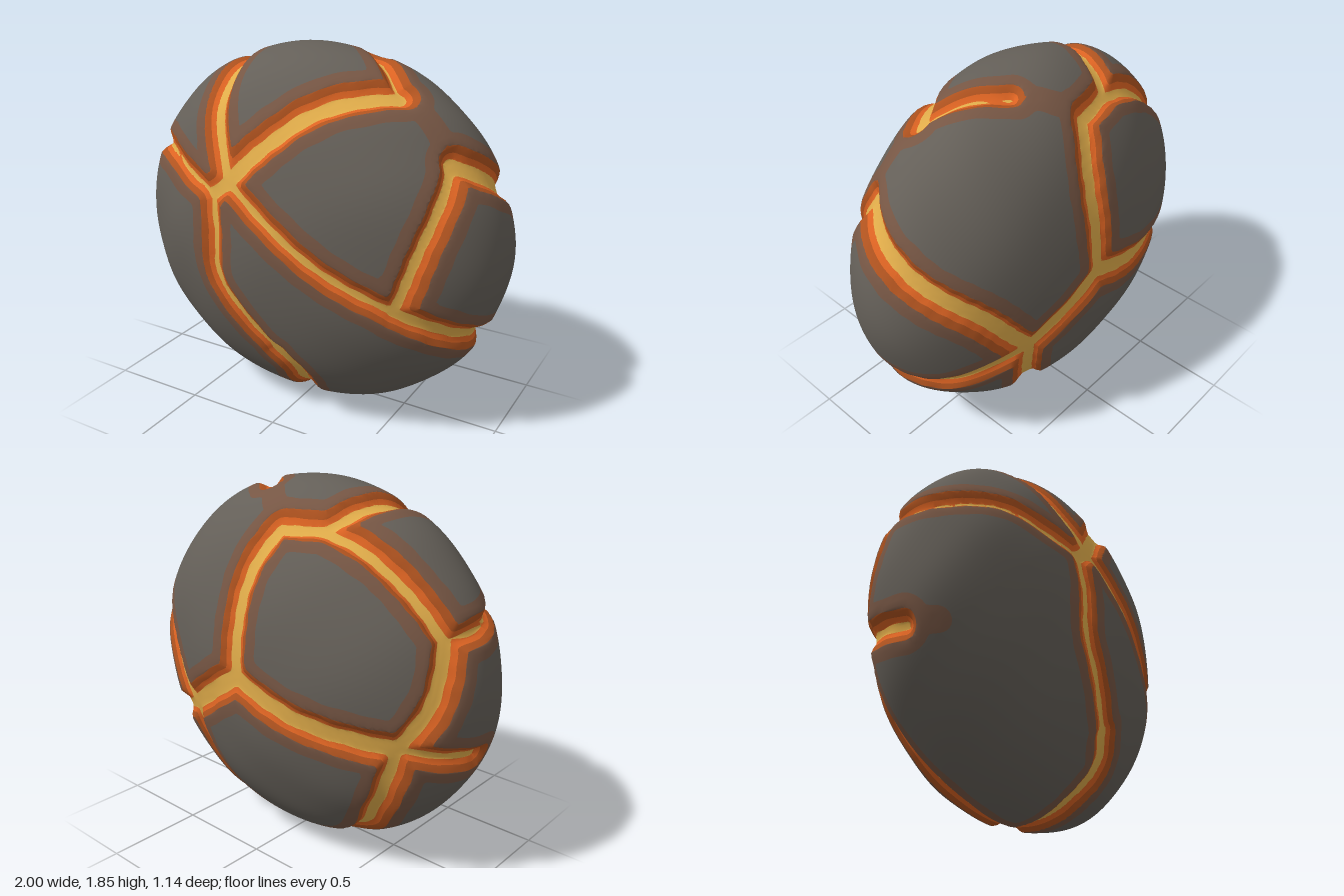
import * as THREE from 'three';
import { mergeVertices } from 'three/addons/utils/BufferGeometryUtils.js';

const RADII = new THREE.Vector3(1, 0.92, 0.57);
const CENTRE_Y = 0.92;

// Junctions of the crack network
const A = [-0.22, 1.25, 0.51], A2 = [-0.32, 1.18, 0.51], B = [-0.28, 1.65, -0.28], B2 = [-0.05, 1.65, -0.34];
const C = [0.49, 1.66, 0.15], D = [0.79, 1.4, 0.18], F = [0.63, 0.73, 0.42], G = [0.46, 0.67, -0.48];
const H = [0.04, 0.02, -0.07], K = [0.06, 0.94, -0.566], L = [-0.91, 1.24, -0.18], M = [-0.77, 0.74, -0.345];

// Cracks: [narrowing, points]; a negative narrowing makes a wider crack, a large one only a scorch mark
const CRACKS = [
  [0, [A, [-0.36, 1.52, 0.36], [-0.4, 1.7, 0.1], B]],
  [-0.01, [A, [0, 1.47, 0.44], [0.2, 1.59, 0.33], C]],
  [-0.005, [A, A2]],
  [0.01, [A, [0, 1.1, 0.55], [0.3, 0.9, 0.54], F]],
  [0.015, [A2, [-0.5, 1.24, 0.46], [-0.7, 1.3, 0.33], [-0.9, 1.27, 0.1], L]],
  [0.01, [A2, [-0.3, 1, 0.54], [-0.3, 0.78, 0.54], [-0.15, 0.56, 0.51], [0, 0.38, 0.46]]],
  [-0.005, [[0, 0.38, 0.46], [0.08, 0.25, 0.39], [0.05, 0.1, 0.25], H]],
  [0.018, [C, [0.36, 1.74, 0.03], [0.2, 1.77, -0.13]]],
  [0.08, [[0.2, 1.77, -0.13], B2]],
  [0.08, [C, [0.66, 1.54, 0.17], D]],
  [0.005, [F, [0.73, 1.05, 0.37], D]],
  [0, [F, [0.86, 0.58, 0.2], [0.9, 0.52, 0], [0.84, 0.5, -0.2], G]],
  [-0.01, [D, [0.91, 1.31, 0], [0.89, 1.18, -0.2], [0.7, 0.98, -0.39], G]],
  [0, [G, [0.4, 0.4, -0.41], [0.24, 0.17, -0.27], H]],
  [-0.015, [G, K]],
  [0, [B, B2]],
  [-0.005, [B2, [0.04, 1.45, -0.47], K]],
  [0.005, [B, [-0.6, 1.55, -0.25], L]],
  [-0.015, [K, [-0.28, 0.82, -0.54], M]],
  [-0.005, [L, [-0.89, 0.98, -0.25], M]],
  [0, [M, [-0.63, 0.4, -0.3], [-0.46, 0.16, -0.19], H]],
  [0.01, [M, [-0.93, 0.68, -0.14], [-0.96, 0.66, 0]]],
  [0.08, [[-0.96, 0.66, 0], [-0.92, 0.66, 0.15]]],
];

// Colour bands by distance from the nearest crack
const BANDS = [
  ['moltenCore', 'molten yellow', 0xe0ac4a, -1, 0.028],
  ['hotEdge', 'hot orange', 0xdc6322, 0.028, 0.052],
  ['emberEdge', 'ember orange', 0xb0531f, 0.052, 0.08],
  ['scorchedRock', 'scorched brown', 0x765644, 0.08, 0.14],
  ['rockPlates', 'dark rock', 0x645f58, 0.14, 9],
];

const onShell = (p) => p.divide(RADII).normalize().multiply(RADII);

// Straight pieces of every crack, laid on the shell
function crackSegments() {
  const segments = [];
  for (const [narrow, points] of CRACKS) {
    const curve = new THREE.CatmullRomCurve3(points.map(([x, y, z]) => new THREE.Vector3(x, y - CENTRE_Y, z)));
    const line = curve.getPoints((points.length - 1) * 5).map(onShell);
    for (let i = 1; i < line.length; i++) segments.push([new THREE.Line3(line[i - 1], line[i]), narrow]);
  }
  return segments;
}

// Keep the part of a polygon whose distance value lies on one side of a level
function clip(poly, level, sign) {
  const out = [];
  poly.forEach((a, i) => {
    const b = poly[(i + 1) % poly.length];
    const da = (a[3] - level) * sign, db = (b[3] - level) * sign;
    if (da >= 0) out.push(a);
    if ((da > 0 && db < 0) || (da < 0 && db > 0)) {
      const t = da / (da - db);
      out.push(a.map((v, k) => v + (b[k] - v) * t));
    }
  });
  return out;
}

// Egg-shaped boulder with sunken cracks; each vertex also carries its crack distance
function boulder() {
  const sphere = new THREE.IcosahedronGeometry(1, 42);
  sphere.deleteAttribute('normal');
  sphere.deleteAttribute('uv');
  const geo = mergeVertices(sphere);
  const segments = crackSegments();
  const pos = geo.attributes.position;
  const p = new THREE.Vector3(), near = new THREE.Vector3();
  const verts = [];
  for (let i = 0; i < pos.count; i++) {
    p.fromBufferAttribute(pos, i).normalize().multiply(RADII);
    let d = 1;
    for (const [line, narrow] of segments) {
      line.closestPointToPoint(p, true, near);
      d = Math.min(d, near.distanceTo(p) + narrow);
    }
    d += 0.004 * Math.sin(p.x * 31 + p.y * 17) * Math.sin(p.y * 37 + p.z * 29);
    const groove = 1 - THREE.MathUtils.smoothstep(d, 0.02, 0.09);
    const bumps = 0.006 * Math.sin(p.x * 9 + p.z * 7) * Math.sin(p.y * 10 - p.z * 6 + 1);
    p.multiplyScalar(1.002 + bumps - 0.05 * groove);
    verts.push([p.x, p.y, p.z, d]);
  }
  return { verts, index: geo.index.array };
}

export function createModel() {
  const group = new THREE.Group();
  group.name = 'crackedBoulder';
  const { verts, index } = boulder();

  // Cut every face along the band borders
  const positions = [], ranges = [];
  for (const [, , , lo, hi] of BANDS) {
    const start = positions.length / 3;
    for (let i = 0; i < index.length; i += 3) {
      const face = [verts[index[i]], verts[index[i + 1]], verts[index[i + 2]]];
      const poly = clip(clip(face, lo, 1), hi, -1);
      for (let k = 2; k < poly.length; k++) {
        for (const v of [poly[0], poly[k - 1], poly[k]]) positions.push(v[0], v[1], v[2]);
      }
    }
    ranges.push([start, positions.length / 3]);
  }

  // Shared smooth normals, so the bands join without seams
  let whole = new THREE.BufferGeometry();
  whole.setAttribute('position', new THREE.Float32BufferAttribute(positions, 3));
  whole = mergeVertices(whole, 1e-5);
  whole.computeVertexNormals();
  whole.computeBoundingBox();
  whole.translate(0, -whole.boundingBox.min.y, 0);

  // One mesh for each band
  BANDS.forEach(([name, colourName, color], i) => {
    const part = new THREE.BufferGeometry();
    part.setAttribute('position', whole.attributes.position);
    part.setAttribute('normal', whole.attributes.normal);
    part.setIndex(Array.from(whole.index.array.slice(...ranges[i])));
    const material = new THREE.MeshStandardMaterial({ color });
    material.name = colourName;
    const mesh = new THREE.Mesh(part.toNonIndexed(), material);
    mesh.name = name;
    group.add(mesh);
  });
  return group;
}
